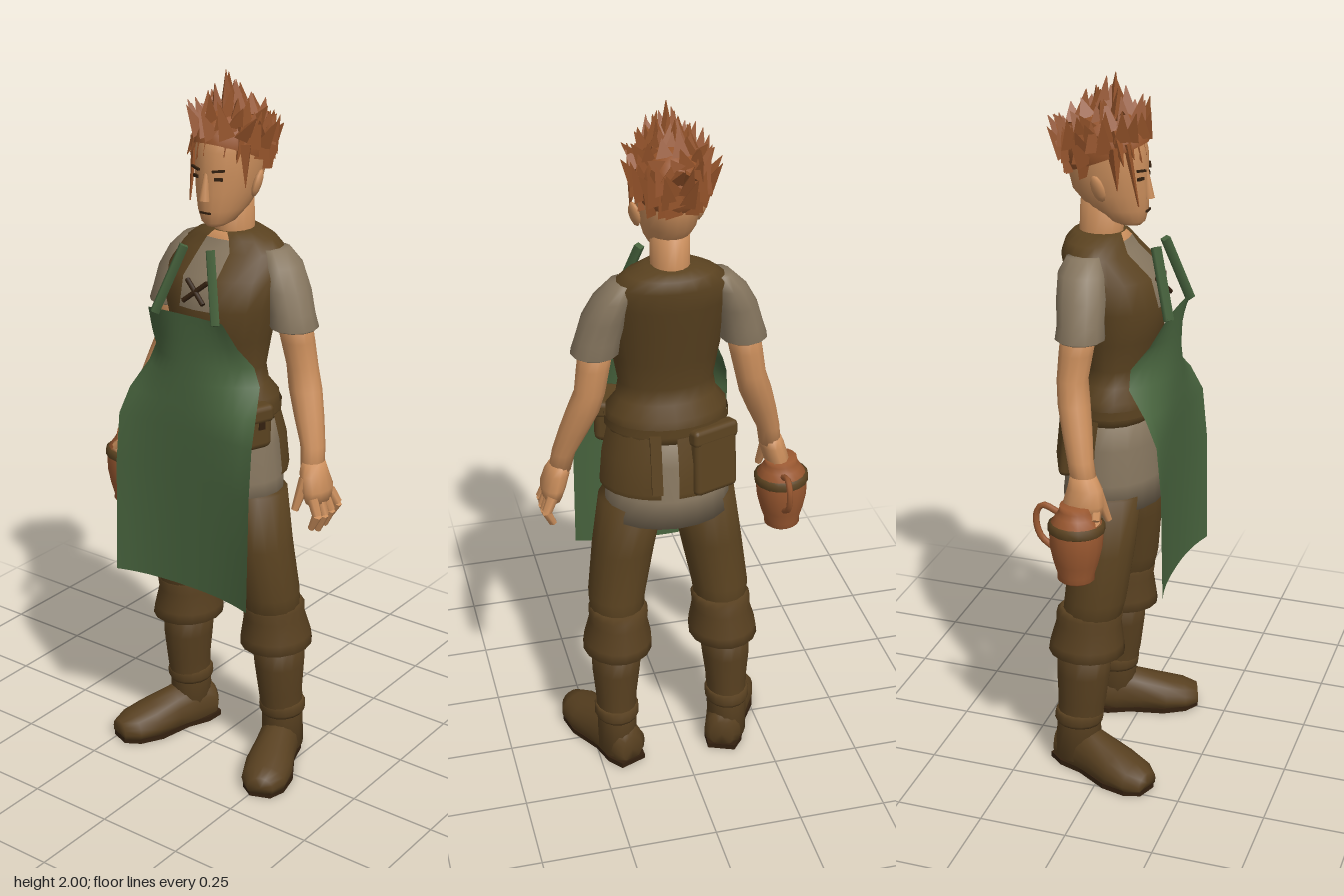
import * as THREE from 'three';
import { RoundedBoxGeometry } from 'three/addons/geometries/RoundedBoxGeometry.js';

const mat = (name, color, side = THREE.FrontSide) => {
  const m = new THREE.MeshStandardMaterial({ color, side });
  m.name = name;
  return m;
};
const V = (x, y, z) => new THREE.Vector3(x, y, z);

// Skin of elliptical rings [x, y, z, rx, rz] listed bottom to top.
// pick(row, column) gives the material index of a face, or -1 to leave it out.
function loft(rings, n = 16, pick = () => 0, caps = true) {
  const pos = [], faces = [[], [], []];
  for (const [x, y, z, rx, rz] of rings)
    for (let j = 0; j < n; j++) {
      const a = (j / n) * Math.PI * 2;
      pos.push(x + rx * Math.sin(a), y, z + rz * Math.cos(a));
    }
  for (let i = 0; i < rings.length - 1; i++)
    for (let j = 0; j < n; j++) {
      const k = (j + 1) % n, a = i * n + j, b = i * n + k, p = pick(i, j);
      if (p >= 0) faces[p].push(a, b, b + n, a, b + n, a + n);
    }
  if (caps) [0, rings.length - 1].forEach((r, end) => {
    const c = pos.length / 3;
    pos.push(rings[r][0], rings[r][1], rings[r][2]);
    for (let j = 0; j < n; j++) {
      const a = r * n + j, b = r * n + (j + 1) % n;
      faces[0].push(c, end ? a : b, end ? b : a);
    }
  });
  const g = new THREE.BufferGeometry();
  g.setAttribute('position', new THREE.Float32BufferAttribute(pos, 3));
  g.setIndex(faces.flat());
  let start = 0;
  faces.forEach((f, m) => { if (f.length) g.addGroup(start, f.length, m); start += f.length; });
  g.computeVertexNormals();
  return g;
}

// Tapered rod between two points
function rod(p, q, r0, r1, sides = 6, flat = false) {
  const d = q.clone().sub(p);
  let g = new THREE.CylinderGeometry(r1, r0, d.length(), sides);
  g.applyQuaternion(new THREE.Quaternion().setFromUnitVectors(V(0, 1, 0), d.normalize()));
  g.translate((p.x + q.x) / 2, (p.y + q.y) / 2, (p.z + q.z) / 2);
  if (flat) { g = g.toNonIndexed(); g.computeVertexNormals(); }
  return g;
}

export function createModel() {
  const skin = mat('skin', 0xc98d5b), leather = mat('brown leather', 0x5a4220, THREE.DoubleSide);
  const linen = mat('linen', 0x86765f, THREE.DoubleSide), green = mat('apron green', 0x48643e, THREE.DoubleSide);
  const hairMat = mat('hair', 0x935229, THREE.DoubleSide), clay = mat('clay', 0x9a5830);
  const dark = mat('dark brown', 0x33200f), boot = mat('boot brown', 0x584020);
  const root = new THREE.Group(), body = new THREE.Group();
  body.position.x = 0.025;
  root.add(body);
  const add = (name, geo, m, parent = body) => {
    const mesh = new THREE.Mesh(geo, m);
    mesh.name = name;
    parent.add(mesh);
    return mesh;
  };
  const box = (name, s, p, m, r = [0, 0, 0], radius = 0) => {
    const mesh = add(name, radius ? new RoundedBoxGeometry(...s, 2, radius) : new THREE.BoxGeometry(...s), m);
    mesh.position.set(...p);
    mesh.rotation.set(...r);
  };

  // Vest with the shirt and bare neck showing in its open front
  add('vest', loft([
    [0, 1.06, -0.02, 0.15, 0.11], [0, 1.09, -0.018, 0.17, 0.126], [0, 1.14, -0.016, 0.168, 0.122],
    [0, 1.175, -0.014, 0.14, 0.096], [0, 1.22, -0.013, 0.132, 0.09], [0, 1.3, -0.01, 0.146, 0.112],
    [0, 1.39, -0.01, 0.164, 0.128], [0, 1.47, -0.03, 0.172, 0.127], [0, 1.53, -0.068, 0.158, 0.097],
    [0, 1.56, -0.072, 0.118, 0.085], [0, 1.578, -0.07, 0.068, 0.07]], 20, (i, j) => {
    const centre = j === 0 || j === 19;
    return !centre || i < 6 ? 0 : i < 9 ? 1 : 2;
  }), [leather, linen, skin]);
  for (const s of [-1, 1]) add('vestLace', rod(V(-0.033 * s, 1.41, 0.119), V(0.033 * s, 1.465, 0.1), 0.007, 0.007), dark);

  // Shirt tail, hip panels and pouches
  add('shirtTail', loft([[0, 0.82, -0.027, 0.178, 0.142], [0, 0.9, -0.024, 0.175, 0.136],
    [0, 1.0, -0.02, 0.165, 0.125], [0, 1.1, -0.018, 0.15, 0.11]], 20), linen);
  add('hipPanels', loft([[0, 0.915, -0.027, 0.19, 0.141], [0, 0.93, -0.027, 0.192, 0.144],
    [0, 1.02, -0.024, 0.184, 0.139], [0, 1.12, -0.018, 0.16, 0.117]], 24,
  (i, j) => (j < 6 || j > 17 || j === 11 ? -1 : 0), false), leather);
  add('belt', loft([[0, 1.095, -0.017, 0.173, 0.129], [0, 1.12, -0.017, 0.173, 0.129]], 24, () => 0, false), leather);
  box('hipPouch', [0.06, 0.12, 0.12], [0.148, 1.075, 0.068], leather, [0, -0.35, 0], 0.02);
  box('hipPouchFlap', [0.066, 0.05, 0.126], [0.149, 1.115, 0.068], leather, [0, -0.35, 0], 0.015);
  box('hipPouchButton', [0.009, 0.02, 0.02], [0.182, 1.085, 0.058], dark, [0, -0.35, 0]);
  box('backPouch', [0.14, 0.19, 0.04], [-0.105, 1.01, -0.132], leather, [0.1, 0.4, 0], 0.016);
  box('backPouchFlap', [0.148, 0.05, 0.046], [-0.105, 1.085, -0.122], leather, [0.1, 0.4, 0], 0.014);
  box('backStrap', [0.03, 0.17, 0.016], [0.06, 1.02, -0.153], leather, [0.15, -0.1, 0]);

  // Legs, boots, sleeves and arms, mirrored
  for (const s of [-1, 1]) {
    const m = rings => rings.map(([x, ...r]) => [x * s, ...r]);
    add('trouserLeg', loft(m([[0.155, 0.44, -0.055, 0.072, 0.08], [0.152, 0.55, -0.035, 0.082, 0.088],
      [0.128, 0.7, -0.022, 0.089, 0.092], [0.1, 0.86, -0.02, 0.094, 0.1]])), leather);
    add('bootCuff', loft(m([[0.158, 0.375, -0.06, 0.085, 0.09], [0.158, 0.38, -0.06, 0.1, 0.11],
      [0.156, 0.41, -0.06, 0.098, 0.106], [0.153, 0.47, -0.055, 0.083, 0.094],
      [0.152, 0.5, -0.052, 0.086, 0.096], [0.152, 0.515, -0.05, 0.075, 0.085]])), boot);
    add('bootShaft', loft(m([[0.168, 0.03, -0.085, 0.056, 0.07], [0.168, 0.14, -0.082, 0.058, 0.064],
      [0.167, 0.22, -0.072, 0.06, 0.07], [0.165, 0.31, -0.068, 0.07, 0.077], [0.16, 0.4, -0.065, 0.074, 0.08]])), boot);
    add('ankleStrap', loft(m([[0.168, 0.145, -0.082, 0.06, 0.066], [0.168, 0.155, -0.082, 0.065, 0.071],
      [0.168, 0.175, -0.08, 0.065, 0.071], [0.168, 0.185, -0.079, 0.06, 0.066]])), boot);

    // Foot lofted heel to toe, then flattened onto its sole
    const foot = loft([[0, -0.085, -0.05, 0.035, 0.045], [0, -0.07, -0.05, 0.054, 0.065], [0, -0.01, -0.05, 0.056, 0.09],
      [0, 0.06, -0.045, 0.06, 0.075], [0, 0.14, -0.035, 0.07, 0.06], [0, 0.2, -0.03, 0.064, 0.048],
      [0, 0.24, -0.028, 0.038, 0.034]]);
    foot.rotateX(Math.PI / 2);
    const p = foot.attributes.position;
    for (let i = 0; i < p.count; i++) p.setY(i, Math.max(0.012, p.getY(i)));
    foot.computeVertexNormals();
    const f = add('bootFoot', foot, boot);
    f.position.set(0.168 * s, 0, -0.07);
    f.rotation.y = 0.38 * s;
    const out = new THREE.Shape([[-0.04, -0.09], [0.04, -0.09], [0.056, -0.04], [0.052, 0.03], [0.07, 0.13],
      [0.06, 0.2], [0.03, 0.24], [-0.03, 0.24], [-0.06, 0.2], [-0.07, 0.13], [-0.052, 0.03], [-0.056, -0.04]]
      .map(([x, z]) => new THREE.Vector2(x, -z)));
    const sole = add('bootSole', new THREE.ExtrudeGeometry(out, { depth: 0.016, bevelEnabled: false }).rotateX(-Math.PI / 2), dark);
    sole.position.copy(f.position);
    sole.rotation.copy(f.rotation);

    add('sleeve', loft(m([[0.203, 1.335, -0.057, 0.06, 0.06], [0.203, 1.34, -0.057, 0.066, 0.068],
      [0.194, 1.38, -0.058, 0.062, 0.064], [0.178, 1.44, -0.062, 0.06, 0.068],
      [0.155, 1.5, -0.07, 0.05, 0.064], [0.132, 1.54, -0.072, 0.032, 0.045]]), 12), linen);
    add('arm', loft(m([[0.3, 0.97, -0.015, 0.031, 0.036], [0.29, 1.03, -0.028, 0.033, 0.036],
      [0.265, 1.1, -0.045, 0.041, 0.041], [0.24, 1.17, -0.062, 0.046, 0.044], [0.222, 1.23, -0.072, 0.043, 0.043],
      [0.21, 1.3, -0.066, 0.046, 0.047], [0.197, 1.37, -0.06, 0.048, 0.05]]), 12), skin);
    add('palm', loft(m([[0.324, 0.885, -0.012, 0.026, 0.052], [0.32, 0.92, -0.01, 0.036, 0.057],
      [0.308, 0.96, -0.01, 0.036, 0.048], [0.3, 0.99, -0.018, 0.031, 0.036]]), 12), skin);
    // Open left hand, right hand closed on the jug
    const reach = s > 0 ? 1 : 0.4;
    for (let k = 0; k < 4; k++) {
      const z = 0.027 - k * 0.027, len = [0.085, 0.1, 0.095, 0.075][k] * reach;
      const a = V(0.33 * s, 0.9, z), b = V(0.349 * s, 0.9 - len * 0.5, z * 1.2), c = V(0.33 * s, 0.9 - len, z * 1.2);
      add('finger', rod(a, b, 0.016, 0.014), skin);
      add('fingerTip', rod(b, c, 0.014, 0.009), skin);
    }
    add('thumb', rod(V(0.302 * s, 0.95, 0.022), V(0.288 * s, 0.865, 0.05), 0.018, 0.01), skin);

    // Apron strap
    add('apronStrap', rod(V(0.1 * s, 1.375, 0.155), V(0.043 * s, 1.555, 0.1), 0.015, 0.015, 4), green);
  }

  // Apron, whose sides curl back at the waist: [y, half width, middle z, edge z]
  const rows = [[0.59, 0.226, 0.152, 0.184], [0.75, 0.226, 0.154, 0.18], [0.92, 0.226, 0.157, 0.176], [1.06, 0.224, 0.16, 0.162],
    [1.13, 0.212, 0.158, 0.128], [1.2, 0.186, 0.153, 0.073], [1.25, 0.165, 0.15, 0.07], [1.31, 0.142, 0.148, 0.115], [1.385, 0.122, 0.151, 0.155]];
  const apron = new THREE.PlaneGeometry(1, 1, 14, rows.length - 1), ap = apron.attributes.position;
  for (let i = 0; i < ap.count; i++) {
    const u = ap.getX(i) * 2, [y, w, zm, ze] = rows[rows.length - 1 - Math.floor(i / 15)];
    ap.setXYZ(i, u * w, y, zm + (ze - zm) * Math.abs(u) ** 2.5);
  }
  apron.computeVertexNormals();
  add('apron', apron, green);

  // Neck, head and face
  add('neck', loft([[0, 1.53, -0.07, 0.062, 0.068], [0, 1.58, -0.065, 0.052, 0.06], [0, 1.66, -0.06, 0.052, 0.062]]), skin);
  add('head', loft([[0, 1.6, 0.015, 0.022, 0.03], [0, 1.612, 0.005, 0.042, 0.052], [0, 1.645, -0.018, 0.06, 0.083],
    [0, 1.69, -0.038, 0.075, 0.104], [0, 1.74, -0.045, 0.084, 0.109], [0, 1.8, -0.05, 0.087, 0.112],
    [0, 1.85, -0.052, 0.08, 0.1], [0, 1.89, -0.055, 0.05, 0.06]], 20), skin);
  add('nose', rod(V(0, 1.674, 0.068), V(0, 1.745, 0.06), 0.015, 0.006, 8), skin);
  box('mouth', [0.034, 0.005, 0.005], [0, 1.641, 0.065], dark);
  for (const s of [-1, 1]) {
    box('eye', [0.022, 0.008, 0.006], [0.036 * s, 1.733, 0.055], dark, [0, 0.38 * s, 0]);
    box('eyebrow', [0.034, 0.006, 0.006], [0.037 * s, 1.755, 0.057], dark, [0, 0.38 * s, 0.12 * s]);
    const ear = add('ear', new THREE.SphereGeometry(1, 8, 6), skin);
    ear.scale.set(0.012, 0.038, 0.022);
    ear.position.set(0.088 * s, 1.712, -0.045);
    ear.rotation.set(-0.2, 0.4 * s, -0.2 * s);
  }

  // Hair cap covered with rings of jagged spikes that rise to a peak
  const hair = new THREE.Group();
  hair.name = 'hair';
  body.add(hair);
  const cap = new THREE.SphereGeometry(1, 16, 8, 0, Math.PI * 2, 0, Math.PI * 0.56);
  cap.rotateX(-0.42).scale(0.093, 0.108, 0.12).translate(0, 1.8, -0.052);
  add('hairCap', cap, hairMat, hair);
  let seed = 7;
  const rnd = () => (seed = (seed * 16807) % 2147483647) / 2147483647;
  [[-0.6, 15], [-0.25, 17], [0.1, 18], [0.4, 17], [0.7, 13], [1.0, 10], [1.35, 6]].forEach(([el, n], row) => {
    for (let k = 0; k < n; k++) {
      const az = ((k + rnd() * 0.7) / n) * Math.PI * 2, front = Math.cos(az);
      if (front > [-0.25, 0, 0.45, 2][Math.min(row, 3)]) continue;
      const d = V(Math.sin(az) * Math.cos(el), Math.sin(el), front * Math.cos(el));
      const b = V(d.x * 0.087, 1.8 + d.y * 0.1, -0.055 + d.z * 0.112);
      const spread = (row < 4 ? 0.022 : 0.012) + rnd() * 0.012;
      const t = V(b.x + d.x * spread + (rnd() - 0.5) * 0.05, 0, b.z + d.z * spread * (front > 0 ? 0.6 : 0.9) + (rnd() - 0.5) * 0.04);
      t.y = Math.min(b.y + 0.07 + rnd() * 0.05, 1.985 - Math.hypot(t.x, (t.z + 0.03) * 0.8) * 0.85 + (rnd() - 0.5) * 0.04);
      add('hairSpike', rod(b, t, 0.027, 0.001, 3, true), hairMat, hair);
    }
  });
  [[0, 2, -0.025], [-0.025, 1.965, -0.01], [0.03, 1.96, -0.045], [-0.01, 1.965, -0.075], [0.05, 1.935, -0.01], [-0.05, 1.935, -0.05]]
    .forEach(([x, y, z]) => add('hairPeak', rod(V(x * 0.7, 1.87, z * 0.8 - 0.01), V(x, y, z), 0.026, 0.001, 4, true), hairMat, hair));
  // Fringe and loose locks
  for (let k = -3; k <= 3; k++) {
    const x = k * 0.024, z = 0.054 - x * x * 7;
    add('fringe', rod(V(x * 0.9, 1.86, z - 0.025), V(x * 1.12 - 0.008, 1.79 - 0.014 * (k & 1), z + 0.008), 0.02, 0.001, 4, true), hairMat, hair);
  }
  add('longLock', rod(V(-0.062, 1.83, 0.025), V(-0.056, 1.665, 0.056), 0.01, 0.002, 4, true), hairMat, hair);
  for (const s of [-1, 1])
    add('sideLock', rod(V(0.078 * s, 1.82, -0.005), V(0.088 * s, 1.71, 0.008), 0.02, 0.001, 4, true), hairMat, hair);

  // Clay jug hanging from the right hand
  const jug = new THREE.Group();
  jug.name = 'jug';
  jug.position.set(-0.341, 0.7, -0.025);
  jug.rotation.z = -0.04;
  body.add(jug);
  const turn = pts => new THREE.LatheGeometry(pts.map(p => new THREE.Vector2(...p)), 16);
  add('jugBody', turn([[0.036, 0.012], [0.044, 0], [0.051, 0.006], [0.05, 0.02], [0.061, 0.055], [0.071, 0.1], [0.073, 0.14],
    [0.07, 0.168], [0.055, 0.19], [0.047, 0.205], [0.045, 0.22], [0, 0.222]]), clay, jug);
  add('jugMouth', turn([[0.037, 0.012], [0, 0.012]]).scale(1, 1, 1), mat('dark hollow', 0x33200f, THREE.DoubleSide), jug);
  add('jugBand', turn([[0.072, 0.143], [0.077, 0.147], [0.077, 0.165], [0.069, 0.171]]), leather, jug);
  add('jugHandle', new THREE.TubeGeometry(new THREE.CatmullRomCurve3([V(0.01, 0.185, -0.055), V(0.01, 0.2, -0.1),
    V(0.01, 0.17, -0.118), V(0.01, 0.11, -0.105), V(0.01, 0.075, -0.06)]), 14, 0.009, 6), clay, jug);
  return root;
}
